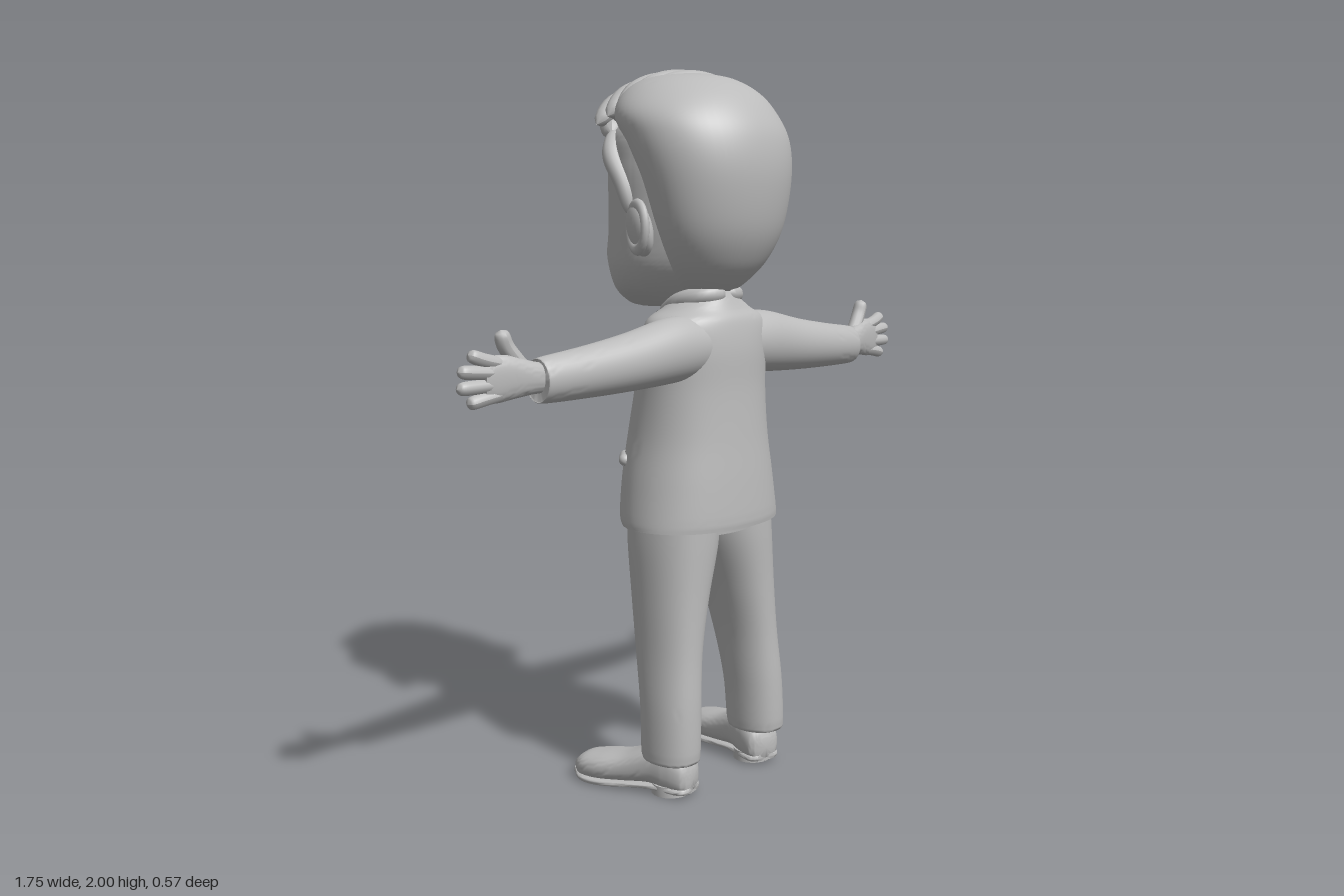
import * as THREE from 'three';
import { toCreasedNormals } from 'three/addons/utils/BufferGeometryUtils.js';

const clay = new THREE.MeshStandardMaterial({ color: 0xbbbbbb, side: THREE.DoubleSide });
clay.name = 'clay grey';

// Catmull-Rom blend of table rows
function smoothRow(rows, t) {
  const last = rows.length - 1, i = Math.min(Math.floor(t * last), last - 1), f = t * last - i;
  const at = k => rows[Math.max(0, Math.min(last, k))];
  return rows[i].map((b, k) => {
    const a = at(i - 1)[k], c = at(i + 1)[k], d = at(i + 2)[k];
    return b + 0.5 * f * (c - a + f * (2 * a - 5 * b + 4 * c - d + f * (3 * (b - c) + d - a)));
  });
}

// Skin through rows [y, xCentre, xRadius, zMin, zMax, gap, gapEnd]; arc = open sheet between two angles from -z
function loft(rows, { steps = 6, sides = 40, power = 2, arc = false, bend } = {}) {
  const pos = [], idx = [], levels = (rows.length - 1) * steps, cols = arc ? sides + 1 : sides;
  for (let i = 0; i <= levels; i++) {
    const [y, xc, rx, z0, z1, g0 = 0, g1 = 0] = smoothRow(rows, i / levels);
    for (let j = 0; j < cols; j++) {
      const a = -Math.PI / 2 + (arc ? g0 + (g1 - g0) * j / sides : j / sides * Math.PI * 2);
      const c = Math.cos(a), s = Math.sin(a), e = 2 / power;
      pos.push(xc + rx * Math.sign(c) * Math.abs(c) ** e, y,
        (z0 + z1) / 2 + (z1 - z0) / 2 * Math.sign(s) * Math.abs(s) ** e);
    }
  }
  for (let i = 0; i < levels; i++) for (let j = 0; j < sides; j++) {
    const a = i * cols + j, b = i * cols + (j + 1) % cols, c = a + cols, d = b + cols;
    idx.push(a, c, b, b, c, d);
  }
  if (!arc) for (const top of [0, 1]) {
    const r = smoothRow(rows, top), base = top * levels * cols, m = pos.length / 3;
    pos.push(r[1], r[0], (r[3] + r[4]) / 2);
    for (let j = 0; j < sides; j++) {
      const a = base + j, b = base + (j + 1) % cols;
      idx.push(m, top ? b : a, top ? a : b);
    }
  }
  if (bend) for (let i = 0; i < pos.length; i += 3) pos[i + 2] += bend(pos[i], pos[i + 1], pos[i + 2]);
  const g = new THREE.BufferGeometry();
  g.setAttribute('position', new THREE.Float32BufferAttribute(pos, 3));
  g.setIndex(idx);
  return g;
}

// Round-ended tube; smaller fullness gives a more pointed lock
function strand(points, radius, fullness = 8) {
  const curve = new THREE.CatmullRomCurve3(points.map(p => new THREE.Vector3(...p)));
  const n = 24, m = 12, g = new THREE.TubeGeometry(curve, n, radius, m), p = g.attributes.position;
  const v = new THREE.Vector3();
  for (let i = 0; i <= n; i++) {
    const c = curve.getPointAt(i / n), k = Math.max(0.03, Math.sqrt(1 - Math.abs(2 * i / n - 1) ** fullness));
    for (let j = 0; j <= m; j++) {
      const q = i * (m + 1) + j;
      v.fromBufferAttribute(p, q).sub(c).multiplyScalar(k).add(c);
      p.setXYZ(q, v.x, v.y, v.z);
    }
  }
  g.computeVertexNormals();
  return g;
}

function add(parent, name, geometry, crease = 0.9) {
  const mesh = new THREE.Mesh(crease ? toCreasedNormals(geometry, crease) : geometry, clay);
  mesh.name = name;
  parent.add(mesh);
  return mesh;
}

function ball(parent, name, p, s) {
  const mesh = add(parent, name, new THREE.SphereGeometry(1, 28, 20), 0);
  mesh.position.set(...p);
  mesh.scale.set(...s);
  return mesh;
}

// Everything that exists once per body side, built for +x
function makeSide() {
  const side = new THREE.Group();
  add(side, 'trouserLeg', loft([
    [0.1, 0.183, 0.066, 0.02, 0.18], [0.12, 0.183, 0.07, 0.01, 0.187], [0.25, 0.177, 0.071, 0, 0.185],
    [0.4, 0.163, 0.073, -0.03, 0.177], [0.55, 0.142, 0.088, -0.06, 0.176], [0.7, 0.117, 0.108, -0.09, 0.18],
    [0.8, 0.108, 0.108, -0.1, 0.18]], { power: 2.2 }));

  // Shoe lofted heel to toe, then laid down and turned out
  const shoe = new THREE.Group();
  shoe.name = 'shoe';
  add(shoe, 'shoeUpper', loft([
    [-0.065, 0, 0.025, 0.02, 0.08], [-0.05, 0, 0.05, 0.005, 0.11], [0, 0, 0.058, 0.005, 0.14],
    [0.06, 0, 0.056, 0.02, 0.132], [0.14, 0, 0.062, 0.012, 0.1], [0.22, 0, 0.069, 0.005, 0.084],
    [0.28, 0, 0.055, 0.004, 0.07], [0.312, 0, 0.02, 0.015, 0.045]], { power: 2.5 }).rotateX(-Math.PI / 2));
  add(shoe, 'shoeSole', loft([
    [-0.065, 0, 0.03, 0.012, 0.03], [-0.04, 0, 0.055, 0.01, 0.03], [0.06, 0, 0.053, 0.012, 0.028],
    [0.2, 0, 0.073, 0, 0.02], [0.27, 0, 0.064, 0, 0.02], [0.316, 0, 0.02, 0.004, 0.022]],
  { power: 4 }).rotateX(-Math.PI / 2));
  add(shoe, 'shoeHeel', new THREE.CylinderGeometry(0.055, 0.055, 0.03, 28)).position.set(0, 0.015, -0.008);
  shoe.position.set(0.175, 0, 0.1);
  shoe.rotation.y = -0.25;
  side.add(shoe);

  // Sleeve and hand run along x
  add(side, 'sleeve', loft([
    [0.1, -1.25, 0.085, 0.03, 0.18], [0.2, -1.245, 0.088, 0.03, 0.18], [0.35, -1.226, 0.076, 0.033, 0.17],
    [0.5, -1.212, 0.066, 0.035, 0.152], [0.63, -1.203, 0.058, 0.036, 0.132], [0.642, -1.203, 0.052, 0.042, 0.126]])
    .rotateZ(-Math.PI / 2));
  add(side, 'palm', loft([
    [0.6, -1.207, 0.036, 0.055, 0.113], [0.66, -1.212, 0.041, 0.052, 0.11], [0.72, -1.217, 0.054, 0.045, 0.098],
    [0.77, -1.215, 0.058, 0.043, 0.088], [0.8, -1.213, 0.045, 0.05, 0.08]], { power: 2.3 }).rotateZ(-Math.PI / 2));
  for (const [x, y0, y1] of [[0.84, 1.25, 1.28], [0.872, 1.228, 1.241], [0.876, 1.203, 1.2], [0.845, 1.18, 1.161]])
    add(side, 'finger', strand([[0.74, y0, 0.07], [0.8, (y0 + y1) / 2, 0.066], [x, y1, 0.06]], 0.0175), 0);
  add(side, 'thumb', strand([[0.66, 1.215, 0.075], [0.7, 1.26, 0.066], [0.725, 1.295, 0.06], [0.738, 1.333, 0.06]], 0.021), 0);

  // Lapel, collar and rolled jacket edge
  add(side, 'lapel', loft([
    [0.98, 0, 0.222, -0.15, 0.21, 0.32, 0.36], [1.1, 0, 0.214, -0.13, 0.2, 0.3, 0.56],
    [1.22, 0, 0.208, -0.1, 0.2, 0.3, 0.82], [1.28, 0, 0.204, -0.085, 0.19, 0.32, 0.72],
    [1.34, 0, 0.15, -0.058, 0.17, 0.4, 0.8]], { arc: true, sides: 8 }));
  add(side, 'jacketEdge', strand([[0.15, 0.755, -0.105], [0.105, 0.78, -0.128], [0.082, 0.87, -0.138], [0.074, 1, -0.124],
    [0.062, 1.13, -0.102], [0.06, 1.25, -0.075], [0.06, 1.34, -0.035]], 0.009), 0);
  add(side, 'collar', strand([[0, 1.39, 0.135], [0.065, 1.385, 0.11], [0.085, 1.37, 0.05], [0.06, 1.34, -0.02],
    [0.02, 1.31, -0.065]], 0.026, 10), 0);
  const flap = add(side, 'pocketFlap', new THREE.CapsuleGeometry(0.017, 0.07, 6, 14).rotateZ(Math.PI / 2), 0);
  flap.position.set(0.172, 0.93, -0.085);
  flap.rotation.set(0, -0.75, 0);

  // Ear with rim
  const ear = ball(side, 'ear', [0.232, 1.565, 0.035], [0.028, 0.072, 0.052]);
  ear.rotation.set(-0.15, 0.3, -0.1);
  const rim = add(side, 'earRim', new THREE.TorusGeometry(0.042, 0.012, 10, 28), 0);
  rim.position.set(0.246, 1.572, 0.04);
  rim.rotation.set(0, Math.PI / 2 + 0.3, 0);
  rim.scale.y = 1.4;

  // Closed eyelid and brow
  ball(side, 'eyelid', [0.09, 1.605, -0.163], [0.044, 0.032, 0.026]);
  add(side, 'eyebrow', strand([[0.04, 1.675, -0.206], [0.09, 1.695, -0.192], [0.15, 1.668, -0.148]], 0.015, 3), 0);
  return side;
}

export function createModel() {
  const model = new THREE.Group();
  model.name = 'suitedFigure';

  for (const s of [1, -1]) {
    const side = makeSide();
    side.name = s > 0 ? 'leftSide' : 'rightSide';
    side.scale.x = s;
    model.add(side);
  }

  // Shirt, tie, belt and open jacket
  add(model, 'shirt', loft([
    [0.73, 0, 0.19, -0.09, 0.18], [0.85, 0, 0.2, -0.112, 0.19], [1, 0, 0.195, -0.11, 0.19], [1.15, 0, 0.185, -0.085, 0.185],
    [1.28, 0, 0.175, -0.058, 0.175], [1.35, 0, 0.09, -0.03, 0.14], [1.39, 0, 0.06, -0.01, 0.12]]));
  add(model, 'tie', loft([[0.87, 0, 0.006, -0.122, -0.108], [0.92, 0, 0.036, -0.125, -0.1], [1.1, 0, 0.03, -0.108, -0.08],
    [1.26, 0, 0.017, -0.078, -0.05], [1.29, 0, 0.026, -0.078, -0.04], [1.33, 0, 0.024, -0.058, -0.02]], { sides: 16 }));
  add(model, 'belt', loft([[0.79, 0, 0.2, -0.11, 0.18], [0.8, 0, 0.205, -0.12, 0.19], [0.83, 0, 0.205, -0.122, 0.19],
    [0.84, 0, 0.2, -0.11, 0.18]], { steps: 2 }));
  add(model, 'beltBuckle', new THREE.BoxGeometry(0.055, 0.045, 0.014)).position.set(0, 0.815, -0.123);
  const T = Math.PI * 2;
  add(model, 'jacket', loft([
    [0.75, 0, 0.25, -0.135, 0.222, 0.62], [0.78, 0, 0.248, -0.148, 0.224, 0.44], [0.88, 0, 0.233, -0.15, 0.218, 0.36],
    [1, 0, 0.213, -0.138, 0.208, 0.35], [1.13, 0, 0.203, -0.112, 0.2, 0.31], [1.24, 0, 0.202, -0.085, 0.198, 0.3],
    [1.315, 0, 0.195, -0.063, 0.185, 0.32], [1.35, 0, 0.135, -0.038, 0.165, 0.45], [1.385, 0, 0.08, -0.01, 0.148, 0.65],
    [1.405, 0, 0.068, 0.005, 0.138, 0.8]].map(r => [...r, T - r[5]]), { arc: true, sides: 56, power: 2.15 }), 1.1);
  add(model, 'neck', loft([[1.3, 0, 0.075, -0.02, 0.13], [1.38, 0, 0.068, -0.005, 0.125], [1.46, 0, 0.075, -0.02, 0.14]]));

  // Face: rounded base, shaped by soft bumps [x, y, width, height, push], mirrored in x
  const bumps = [[0, 1.52, 0.026, 0.026, 0.058], [0, 1.57, 0.02, 0.055, 0.02], [0.025, 1.505, 0.016, 0.016, 0.012],
    [0.085, 1.605, 0.045, 0.038, -0.03], [0.11, 1.5, 0.05, 0.045, 0.015], [0.08, 1.685, 0.06, 0.02, 0.01],
    [0, 1.457, 0.042, 0.011, 0.02], [0, 1.443, 0.05, 0.006, -0.014], [0, 1.428, 0.035, 0.011, 0.016],
    [0, 1.375, 0.05, 0.028, 0.013]];
  add(model, 'face', loft([
    [1.347, 0, 0.045, -0.17, -0.06], [1.36, 0, 0.1, -0.194, 0], [1.4, 0, 0.168, -0.208, 0.06], [1.46, 0, 0.205, -0.216, 0.12],
    [1.54, 0, 0.217, -0.217, 0.16], [1.64, 0, 0.223, -0.215, 0.18], [1.74, 0, 0.224, -0.212, 0.18],
    [1.83, 0, 0.205, -0.19, 0.15], [1.89, 0, 0.12, -0.12, 0.1]], {
    steps: 12, sides: 128, bend: (x, y, z) => z > -0.04 ? 0 : -bumps.reduce((sum, [cx, cy, w, h, k]) =>
      sum + k * Math.exp(-(((Math.abs(x) - cx) / w) ** 2) - ((y - cy) / h) ** 2), 0) * Math.min(1, (-0.04 - z) / 0.06)
  }), 1.2);

  // Hair: smooth back and sides, then combed locks from the parting
  add(model, 'hair', loft([
    [1.385, 0, 0.055, 0.03, 0.125], [1.42, 0, 0.11, 0, 0.17], [1.48, 0, 0.163, -0.02, 0.222], [1.57, 0, 0.206, -0.04, 0.262],
    [1.7, 0, 0.237, -0.08, 0.281], [1.8, 0, 0.25, -0.13, 0.272], [1.87, 0, 0.24, -0.18, 0.24], [1.93, 0.01, 0.195, -0.185, 0.185],
    [1.97, 0.015, 0.125, -0.14, 0.11], [1.985, 0.015, 0.04, -0.06, 0.03]], { sides: 56 }));
  for (let i = 0; i < 7; i++) {
    const z = -0.17 + i * 0.043, drop = 2.2 * (z + 0.04) ** 2;
    add(model, 'topLock', strand([[-0.17, 1.885 - drop, z - 0.02], [-0.08, 1.945 - drop, z - 0.02],
      [0.03, 1.963 - drop, z], [0.13, 1.935 - drop, z + 0.025], [0.215, 1.855 - drop, z + 0.05]], 0.036, 4), 0);
  }
  const quiff = [
    [[-0.15, 1.82, -0.15], [-0.06, 1.865, -0.225], [0.06, 1.88, -0.243], [0.15, 1.88, -0.2], [0.22, 1.83, -0.1]],
    [[-0.15, 1.87, -0.13], [-0.04, 1.915, -0.2], [0.07, 1.917, -0.23], [0.17, 1.89, -0.17], [0.225, 1.84, -0.06]],
    [[-0.11, 1.83, -0.17], [0, 1.84, -0.215], [0.1, 1.845, -0.22], [0.19, 1.83, -0.16], [0.22, 1.77, -0.09]]];
  for (const q of quiff) add(model, 'quiffLock', strand(q, 0.042, 4), 0);
  for (const s of [1, -1]) add(model, 'sideHair', strand([[s * 0.17, 1.83, -0.12], [s * 0.215, 1.76, -0.085],
    [s * 0.218, 1.68, -0.035], [s * 0.213, 1.6, -0.01]], 0.026, 4), 0);
  return model;
}
